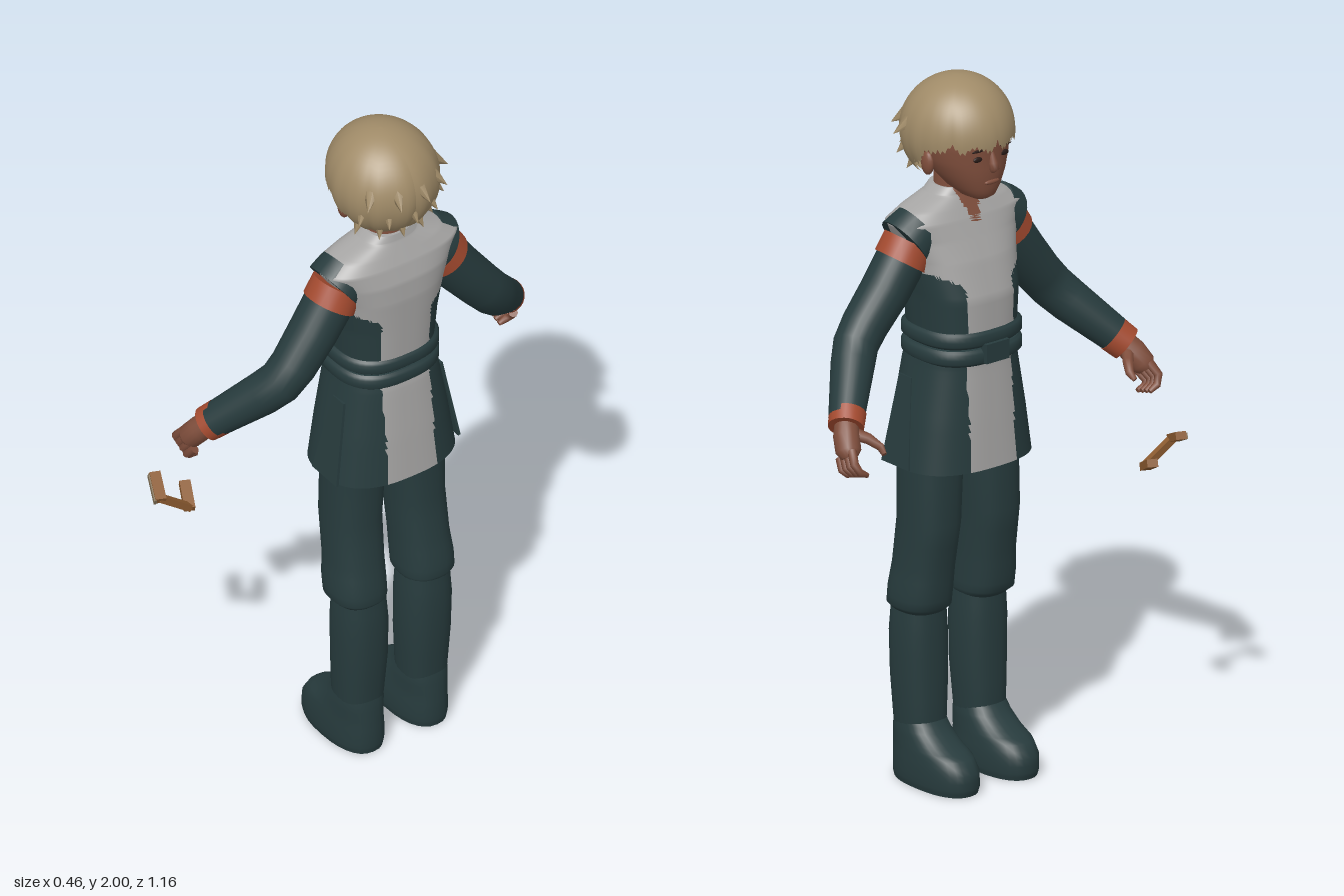
import * as THREE from 'three';

const mat = (name, color, side = THREE.FrontSide) => {
  const m = new THREE.MeshStandardMaterial({ color, side });
  m.name = name;
  return m;
};

// Skins a list of equal-length closed rings; paint(p) picks a material index per face.
function skin(rings, paint = () => 0) {
  const n = rings[0].length, pos = [], faces = [];
  const mid = (ids) => ids.reduce((v, i) => v.add(new THREE.Vector3().fromArray(pos, i * 3)), new THREE.Vector3()).divideScalar(ids.length);
  const add = (...ids) => { (faces[paint(mid(ids))] ??= []).push(...ids); };
  rings.flat().forEach((p) => pos.push(p.x, p.y, p.z));
  for (let j = 0; j < rings.length - 1; j++) for (let i = 0; i < n; i++) {
    const a = j * n + i, b = j * n + (i + 1) % n;
    add(a, a + n, b + n);
    add(a, b + n, b);
  }
  // flat end caps with their own vertices
  [rings[0], rings.at(-1)].forEach((ring, end) => {
    const base = pos.length / 3, c = new THREE.Vector3();
    ring.forEach((p) => { pos.push(p.x, p.y, p.z); c.addScaledVector(p, 1 / n); });
    pos.push(c.x, c.y, c.z);
    for (let i = 0; i < n; i++) {
      const a = base + i, b = base + (i + 1) % n;
      end ? add(base + n, b, a) : add(base + n, a, b);
    }
  });
  const g = new THREE.BufferGeometry(), index = [];
  faces.forEach((f, k) => { g.addGroup(index.length, f.length, k); for (const i of f) index.push(i); });
  g.setAttribute('position', new THREE.Float32BufferAttribute(pos, 3));
  g.setIndex(index);
  g.computeVertexNormals();
  return g;
}

// Upright form from sections [y, xMin, xMax, zMin, zMax], bottom to top.
function loft(sections, { seg = 28, sub = 2, power = 2.4, paint } = {}) {
  const rows = [];
  sections.forEach((s, k) => {
    if (!k) return rows.push(s);
    for (let t = 1; t <= sub; t++) rows.push(s.map((v, i) => THREE.MathUtils.lerp(sections[k - 1][i], v, t / sub)));
  });
  const bulge = (v) => Math.sign(v) * Math.abs(v) ** (2 / power);
  return skin(rows.map(([y, x0, x1, z0, z1]) => Array.from({ length: seg }, (_, i) => {
    const a = i / seg * Math.PI * 2;
    return new THREE.Vector3((x0 + x1) / 2 + (x1 - x0) / 2 * bulge(Math.cos(a)), y, (z0 + z1) / 2 + (z1 - z0) / 2 * bulge(Math.sin(a)));
  })), paint);
}

// Round form along points [x, y, z, radius].
function limb(points, seg = 16) {
  const P = points.map((p) => new THREE.Vector3(p[0], p[1], p[2]));
  return skin(P.map((p, k) => {
    const t = P[Math.min(k + 1, P.length - 1)].clone().sub(P[Math.max(k - 1, 0)]).normalize();
    const u = Math.abs(t.x) > 0.9 ? new THREE.Vector3(0, 0, 1) : new THREE.Vector3(1, 0, 0);
    u.addScaledVector(t, -u.dot(t)).normalize();
    const v = u.clone().cross(t);
    return Array.from({ length: seg }, (_, i) => {
      const a = i / seg * Math.PI * 2, r = points[k][3];
      return p.clone().addScaledVector(u, r * Math.cos(a)).addScaledVector(v, r * Math.sin(a));
    });
  }));
}

export function createModel() {
  const teal = mat('dark teal cloth', 0x273b3d), grey = mat('grey cloth', 0xa6a5a4);
  const flesh = mat('skin', 0x7f4e3c), hairMat = mat('blond hair', 0xa08b68, THREE.DoubleSide);
  const orange = mat('orange trim', 0xa34a2f), bronze = mat('bronze', 0x8a5a30);
  const khaki = mat('khaki metal', 0x85745a), dark = mat('eye brown', 0x2a1c18);

  const model = new THREE.Group();
  const figure = new THREE.Group();
  figure.name = 'figure';
  figure.position.z = -0.03;
  model.add(figure);
  const put = (name, geo, material, parent = figure) => {
    const m = new THREE.Mesh(geo, material);
    m.name = name;
    parent.add(m);
    return m;
  };
  const even = (rows) => rows.map(([y, x0, x1, w]) => [y, x0, x1, -w, w]);

  // Tunic top: grey yoke and centre strip, teal sides, open collar
  put('tunicTop', loft(even([[1.28, -0.1, 0.165, 0.14], [1.4, -0.1, 0.172, 0.15], [1.5, -0.07, 0.178, 0.165],
    [1.56, -0.045, 0.175, 0.185], [1.61, -0.025, 0.16, 0.215], [1.64, -0.01, 0.145, 0.165],
    [1.67, 0.005, 0.13, 0.085], [1.69, 0.01, 0.125, 0.062]]), {
    seg: 120, sub: 8, power: 2.6,
    paint: (p) => {
      if (p.x < 0.03 && p.y > 1.58 && Math.abs(p.z) < (p.y - 1.58) * 0.4) return 2;
      return Math.abs(p.z) < 0.08 + 0.15 * THREE.MathUtils.smoothstep(p.y, 1.43, 1.52) ? 0 : 1;
    },
  }), [grey, teal, flesh]);
  // Skirt with grey strip front and back
  put('tunicSkirt', loft(even([[0.915, -0.108, 0.198, 0.2], [1.05, -0.1, 0.186, 0.18], [1.2, -0.09, 0.17, 0.153],
    [1.25, -0.09, 0.16, 0.145]]), {
    seg: 120, sub: 6, power: 2.6, paint: (p) => (p.y > 0.916 && Math.abs(p.z) < 0.078 ? 0 : 1),
  }), [grey, teal]);

  // Belt: two rounded bands and a buckle
  for (const y of [1.215, 1.265]) put('beltBand', loft(even([[y, -0.1, 0.165, 0.145], [y + 0.01, -0.11, 0.175, 0.156],
    [y + 0.035, -0.11, 0.175, 0.156], [y + 0.045, -0.1, 0.165, 0.145]]), { seg: 48, power: 2.6 }), teal);
  put('buckle', new THREE.BoxGeometry(0.025, 0.055, 0.08), teal).position.set(-0.108, 1.25, 0);

  // Neck and head
  put('neck', loft(even([[1.62, 0.005, 0.12, 0.06], [1.76, 0.005, 0.115, 0.056]]), { power: 2 }), flesh);
  put('head', loft(even([[1.675, -0.07, -0.02, 0.025], [1.685, -0.085, 0.02, 0.045], [1.71, -0.093, 0.07, 0.07],
    [1.75, -0.098, 0.12, 0.097], [1.79, -0.098, 0.145, 0.115], [1.85, -0.1, 0.16, 0.125], [1.92, -0.08, 0.15, 0.11],
    [1.96, -0.03, 0.1, 0.07]]), { seg: 36, power: 2.1 }), flesh);
  put('nose', limb([[-0.092, 1.815, 0, 0.008], [-0.1, 1.785, 0, 0.013], [-0.104, 1.772, 0, 0.014], [-0.096, 1.762, 0, 0.009]], 10), flesh);
  const blob = (name, material, pos, scale) => {
    const m = put(name, new THREE.SphereGeometry(1, 16, 10), material);
    m.position.set(...pos);
    m.scale.set(...scale);
    return m;
  };
  blob('lips', flesh, [-0.094, 1.73, 0], [0.007, 0.007, 0.026]);
  for (const s of [1, -1]) {
    blob('eye', dark, [-0.09, 1.802, 0.045 * s], [0.005, 0.008, 0.017]);
    blob('eyebrow', dark, [-0.093, 1.827, 0.045 * s], [0.004, 0.004, 0.024]);
    blob('ear', flesh, [0.035, 1.775, 0.117 * s], [0.022, 0.034, 0.014]);
  }

  // Hair cap: ragged lower edge, short over the brow and long at the nape
  const cap = new THREE.SphereGeometry(1, 72, 24);
  const hp = cap.attributes.position, hu = cap.attributes.uv;
  for (let i = 0; i < hp.count; i++) {
    const a = hu.getX(i) * Math.PI * 2, t = 1 - hu.getY(i);
    const back = (1 + Math.cos(a)) / 2;
    const tuft = Math.abs(Math.sin(a * 7)) + 0.5 * Math.abs(Math.sin(a * 11));
    const th = t * (1.55 + 0.9 * THREE.MathUtils.smoothstep(back, 0.2, 0.95) + 0.13 * tuft);
    const r = 1 + 0.05 * tuft * t * t * back;
    hp.setXYZ(i, 0.045 + 0.163 * r * Math.sin(th) * Math.cos(a), 1.845 + 0.155 * Math.cos(th),
      0.155 * r * Math.sin(th) * Math.sin(a) * (1 - 0.1 * t * (1 - back)));
  }
  cap.computeVertexNormals();
  put('hair', cap, hairMat);
  // Pointed locks around the back
  for (let i = 0; i < 15; i++) {
    const row = i % 3, a = (Math.floor(i / 3) - 2) * 0.5 + (row - 1) * 0.17, y = [1.87, 1.81, 1.76][row];
    const r = [0.155, 0.145, 0.12][row], dir = new THREE.Vector3(Math.cos(a), -0.7 - row * 0.4, Math.sin(a)).normalize();
    const lock = put('hairLock', new THREE.ConeGeometry(0.032, 0.085, 7), hairMat);
    lock.position.set(0.045 + r * Math.cos(a), y, r * 0.95 * Math.sin(a));
    lock.quaternion.setFromUnitVectors(new THREE.Vector3(0, 1, 0), dir);
  }

  for (const s of [1, -1]) {
    const side = (rows) => rows.map(([x, y, w, r]) => [x, y, w * s, r]);
    const leg = (rows) => rows.map(([y, x0, x1, a, b]) => (s > 0 ? [y, x0, x1, a, b] : [y, x0, x1, -b, -a]));

    // Legs
    put('trouserLeg', loft(leg([[0.485, 0.015, 0.155, 0.04, 0.17], [0.505, -0.008, 0.166, 0.03, 0.19], [0.55, -0.015, 0.162, 0.03, 0.19],
      [0.62, -0.022, 0.15, 0.03, 0.183], [0.75, -0.043, 0.136, 0.026, 0.18], [1, -0.04, 0.14, 0.01, 0.178]])), teal);
    put('bootShaft', loft(leg([[0.13, 0.02, 0.148, 0.042, 0.166], [0.17, 0.012, 0.152, 0.038, 0.17], [0.3, 0.012, 0.163, 0.03, 0.176],
      [0.42, 0.012, 0.166, 0.03, 0.178], [0.51, 0.015, 0.16, 0.037, 0.172]])), teal);
    put('bootFoot', loft(leg([[0, -0.128, 0.158, 0.033, 0.175], [0.02, -0.134, 0.162, 0.028, 0.18], [0.06, -0.132, 0.162, 0.028, 0.18],
      [0.095, -0.108, 0.16, 0.032, 0.177], [0.12, -0.055, 0.158, 0.035, 0.174], [0.15, -0.01, 0.155, 0.037, 0.172],
      [0.18, 0.015, 0.15, 0.042, 0.168]])), teal);

    // Overlapping skirt panel at the hip
    const flap = new THREE.Shape([[0.012, 0], [0.125, 0], [0.1, 0.25], [0.05, 0.25]].map((p) => new THREE.Vector2(...p)));
    const panel = put('skirtPanel', new THREE.ExtrudeGeometry(flap, { depth: 0.008, bevelEnabled: false }), teal);
    panel.position.set(0, 0.918, s > 0 ? 0.196 : -0.204);
    panel.rotation.x = -0.165 * s;

    // Arm: shoulder cap, trim, sleeve, cuff
    put('shoulderCap', limb(side([[0.06, 1.585, 0.125, 0.076], [0.064, 1.56, 0.158, 0.081], [0.065, 1.55, 0.172, 0.081]]), 24), teal);
    put('shoulderTrim', limb(side([[0.065, 1.55, 0.155, 0.074], [0.067, 1.5, 0.187, 0.075]]), 24), orange);
    put('sleeve', limb(side([[0.065, 1.54, 0.16, 0.07], [0.068, 1.43, 0.238, 0.068], [0.072, 1.345, 0.307, 0.064], [0.064, 1.3, 0.345, 0.062],
      [0.035, 1.26, 0.38, 0.06], [-0.055, 1.155, 0.478, 0.049]]), 24), teal);
    put('cuff', limb(side([[-0.046, 1.166, 0.466, 0.051], [-0.07, 1.138, 0.492, 0.049]]), 24), orange);

    // Hand
    put('palm', limb(side([[-0.06, 1.15, 0.482, 0.032], [-0.085, 1.118, 0.503, 0.036], [-0.11, 1.085, 0.517, 0.035], [-0.12, 1.07, 0.52, 0.022]])), flesh);
    for (let k = 0; k < 4; k++) put('finger', limb(side([[-0.13 + 0.016 * k, 1.095 - 0.012 * k, 0.522, 0.013],
      [-0.155 + 0.017 * k, 1.064 - 0.01 * k, 0.533, 0.012], [-0.163 + 0.017 * k, 1.04 - 0.006 * k, 0.52, 0.011],
      [-0.163 + 0.017 * k, 1.027 - 0.004 * k, 0.495, 0.007]]), 8), flesh);
    put('thumb', limb(side([[-0.085, 1.125, 0.485, 0.018], [-0.12, 1.11, 0.455, 0.015], [-0.15, 1.09, 0.437, 0.012], [-0.168, 1.075, 0.44, 0.007]]), 8), flesh);
  }

  // Loose bracket-shaped handle below the left hand
  const handle = new THREE.Group();
  handle.name = 'handle';
  model.add(handle);
  const bar = (name, from, to, w, h, material) => {
    const a = new THREE.Vector3(...from), b = new THREE.Vector3(...to);
    const m = put(name, new THREE.BoxGeometry(w, h, a.distanceTo(b)), material, handle);
    m.position.copy(a).lerp(b, 0.5);
    m.lookAt(b);
    return m;
  };
  bar('handleGrip', [-0.157, 0.872, 0.553], [-0.145, 0.808, 0.462], 0.018, 0.02, bronze);
  const arms = [[[-0.15, 0.868, 0.556], [-0.222, 0.903, 0.526]], [[-0.142, 0.806, 0.467], [-0.21, 0.842, 0.436]]];
  for (const [a, b] of arms) bar('handleArm', a, b, 0.03, 0.022, bronze);
  const raise = (p) => [p[0] - 0.005, p[1] - 0.003, p[2] + 0.014];
  bar('handlePlate', raise(arms[0][0]), raise(arms[0][1]), 0.008, 0.018, khaki);
  return model;
}
